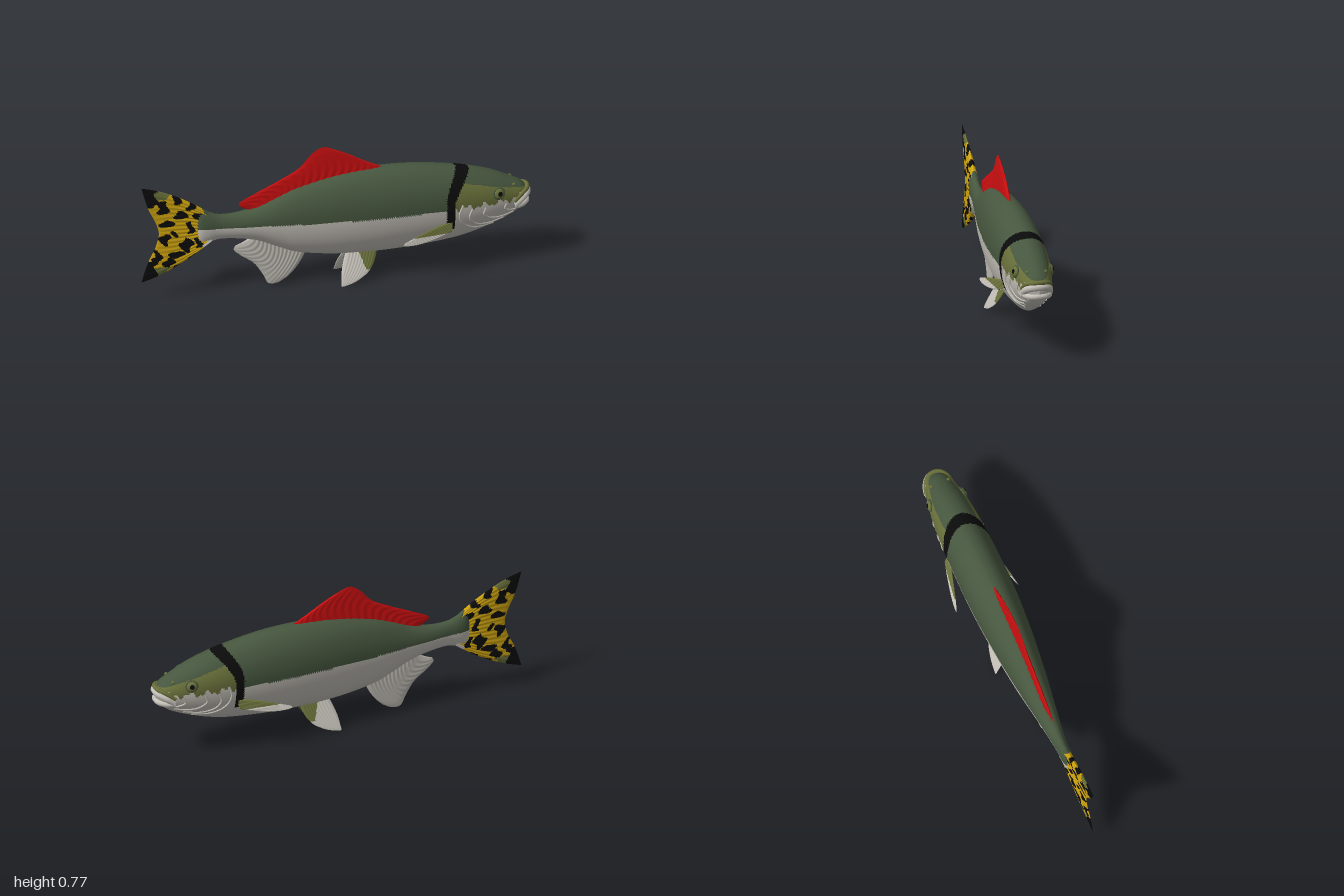
import * as THREE from 'three';

const mat = (name, color) => new THREE.MeshStandardMaterial({ name, color, side: THREE.DoubleSide });
const V = (x, y, z = 0) => new THREE.Vector3(x, y, z);
const clamp = THREE.MathUtils.clamp;

// Body stations from nose to tail: x, top, bottom, half width
const STATIONS = [
  [0.985, 0.395, 0.36, 0], [0.975, 0.42, 0.338, 0.036], [0.95, 0.447, 0.308, 0.06], [0.9, 0.475, 0.27, 0.078],
  [0.8, 0.523, 0.225, 0.099], [0.7, 0.556, 0.19, 0.111], [0.6, 0.58, 0.167, 0.117], [0.4, 0.612, 0.146, 0.122],
  [0.2, 0.62, 0.14, 0.119], [0, 0.605, 0.15, 0.106], [-0.2, 0.56, 0.185, 0.085], [-0.3, 0.52, 0.228, 0.072],
  [-0.4, 0.475, 0.276, 0.058], [-0.5, 0.451, 0.301, 0.044], [-0.6, 0.452, 0.31, 0.032], [-0.66, 0.475, 0.295, 0.03],
  [-0.7, 0.488, 0.287, 0.023], [-0.73, 0.45, 0.31, 0],
];

// Smooth interpolation of one station column at x
function station(x, col) {
  const S = STATIONS, n = S.length - 1;
  let i = 0;
  while (i < n - 1 && x < S[i + 1][0]) i++;
  const slope = (k) => {
    const a = S[Math.max(k - 1, 0)], b = S[Math.min(k + 1, n)];
    return (b[col] - a[col]) / (b[0] - a[0]);
  };
  const h = S[i + 1][0] - S[i][0], t = clamp((x - S[i][0]) / h, 0, 1), t2 = t * t, t3 = t2 * t;
  return (2 * t3 - 3 * t2 + 1) * S[i][col] + (t3 - 2 * t2 + t) * h * slope(i)
    + (3 * t2 - 2 * t3) * S[i + 1][col] + (t3 - t2) * h * slope(i + 1);
}

// Cross-section: round back, keeled belly
function section(x, a) {
  const top = station(x, 1), bot = station(x, 2), w = Math.max(0, station(x, 3));
  const mid = bot + (top - bot) * 0.58, c = Math.cos(a), s = Math.sin(a);
  const z = w * Math.sign(s) * Math.pow(Math.abs(s), c > 0 ? 1 : 1.25);
  return V(x, mid + c * (c > 0 ? top - mid : mid - bot), z);
}

// Point on the flank at a given x and height
function flank(x, y, side, lift = 0) {
  const top = station(x, 1), bot = station(x, 2), mid = bot + (top - bot) * 0.58;
  const c = clamp((y - mid) / (y > mid ? top - mid : mid - bot), -1, 1);
  const p = section(x, Math.acos(c));
  p.z = side * (p.z + lift);
  return p;
}

// Grid surface whose faces are sorted into one group per material
function grid(nu, nv, point, wrap, paint) {
  const pos = [], faces = new Map(), cols = wrap ? nv : nv + 1;
  for (let i = 0; i <= nu; i++) for (let j = 0; j < cols; j++) pos.push(point(i / nu, j / nv));
  const add = (...f) => {
    const c = V(0, 0).add(pos[f[0]]).add(pos[f[1]]).add(pos[f[2]]).divideScalar(3);
    const m = paint(c.x, c.y);
    if (!faces.has(m)) faces.set(m, []);
    faces.get(m).push(...f);
  };
  for (let i = 0; i < nu; i++) for (let j = 0; j < nv; j++) {
    const k = (j + 1) % cols, a = i * cols + j, b = i * cols + k;
    add(a, a + cols, b);
    add(b, a + cols, b + cols);
  }
  const g = new THREE.BufferGeometry().setFromPoints(pos), index = [], mats = [];
  for (const [m, list] of faces) {
    g.addGroup(index.length, list.length, mats.length);
    mats.push(m);
    for (const v of list) index.push(v);
  }
  g.setIndex(index);
  g.computeVertexNormals();
  return new THREE.Mesh(g, mats);
}

// Ribbed fin lofted through a base, a middle and an outer curve
function fin(name, [nu, nv], rows, thick, rays, paint, depth = () => 0) {
  const curves = rows.map((r) => new THREE.CatmullRomCurve3(r.map(([x, y]) => V(x, y))));
  const group = new THREE.Group();
  group.name = name;
  for (const s of [1, -1]) {
    const face = grid(nu, nv, (u, v) => {
      const [a, b, c] = curves.map((k) => k.getPoint(u));
      const p = a.multiplyScalar((1 - v) * (1 - 2 * v)).addScaledVector(b, 4 * v * (1 - v)).addScaledVector(c, v * (2 * v - 1));
      const edge = Math.sqrt(Math.max(0, 1 - (2 * u - 1) ** 8) * (1 - v ** 8));
      const rib = 1 + 0.15 * Math.cos(u * rays * Math.PI * 2);
      p.z = depth(p.x, p.y) + s * thick * (1 - 0.65 * v) * edge * rib;
      return p;
    }, false, paint);
    face.name = name + (s > 0 ? 'LeftFace' : 'RightFace');
    group.add(face);
  }
  return group;
}

// Tail blotches: x, y, radius x, radius y
const BLOTCHES = [
  [-0.89, 0.53, 0.03, 0.04], [-0.82, 0.57, 0.025, 0.03], [-0.8, 0.48, 0.035, 0.025], [-0.75, 0.52, 0.02, 0.02],
  [-0.71, 0.46, 0.035, 0.02], [-0.75, 0.4, 0.02, 0.035], [-0.87, 0.435, 0.035, 0.02], [-0.88, 0.34, 0.025, 0.035],
  [-0.77, 0.3, 0.03, 0.045], [-0.82, 0.25, 0.035, 0.02], [-0.71, 0.31, 0.02, 0.03], [-0.86, 0.21, 0.025, 0.03],
  [-0.79, 0.18, 0.035, 0.022], [-0.73, 0.23, 0.025, 0.018], [-0.83, 0.37, 0.02, 0.02], [-0.92, 0.25, 0.02, 0.04],
];

export function createModel() {
  const green = mat('darkGreen', 0x47573f), pale = mat('paleGrey', 0xc6c2ba), olive = mat('olive', 0x69703a);
  const black = mat('black', 0x0b0b0b), red = mat('red', 0xcc0f10), yellow = mat('yellow', 0xcfa40f);
  const fish = new THREE.Group();
  fish.name = 'fish';
  const add = (name, geometry, material) => {
    const m = new THREE.Mesh(geometry, material);
    m.name = name;
    fish.add(m);
    return m;
  };
  const tube = (name, pts, r, material) =>
    add(name, new THREE.TubeGeometry(new THREE.CatmullRomCurve3(pts), 32, r, 10), material);

  // Body: dark back, pale belly, black collar, olive cheeks
  const body = grid(170, 128, (u, v) => section(0.985 - 1.715 * Math.pow(u, 1.3), v * Math.PI * 2), true, (x, y) => {
    const s = clamp((y - 0.4) / 0.18, 0, 1);
    if (y > 0.265 && Math.abs(x - 0.567 - 0.09 * s * s) < 0.02 + 0.022 * s) return black;
    if (x < 0.567 + 0.09 * s * s) return y > 0.385 ? green : pale;
    if (y > 0.5 - (x - 0.7) * 0.27) return green;
    const cheek = (x > 0.93 ? 0.4 : 0.39) + 0.012 * Math.sin(x * 70) + 0.008 * Math.sin(x * 163);
    return y > cheek ? olive : pale;
  });
  body.name = 'body';
  fish.add(body);

  // Tail fin
  fish.add(fin('tailFin', [80, 56], [
    [[-0.64, 0.462], [-0.64, 0.38], [-0.64, 0.302]],
    [[-0.83, 0.588], [-0.79, 0.48], [-0.78, 0.38], [-0.79, 0.28], [-0.83, 0.175]],
    [[-1, 0.652], [-0.965, 0.53], [-0.925, 0.44], [-0.91, 0.38], [-0.925, 0.31], [-0.965, 0.22], [-1, 0.108]],
  ], 0.017, 18, (x, y) => {
    const off = Math.abs(y - 0.38), wob = 0.012 * Math.sin(y * 90 + x * 40);
    if (x > -0.675 + wob) return y > 0.385 ? green : pale;
    if (x < -0.925 + wob && off > 0.155) return black;
    if (x < -0.86 + wob && off > 0.195) return olive;
    return BLOTCHES.some(([bx, by, rx, ry]) => Math.hypot((x - bx + wob) / rx, (y - by) / ry) < 1) ? black : yellow;
  }));

  // Dorsal fin
  fish.add(fin('dorsalFin', [80, 12], [
    [[0.24, 0.6], [0.05, 0.59], [-0.12, 0.56], [-0.28, 0.5], [-0.44, 0.44]],
    [[0.235, 0.612], [0.08, 0.672], [-0.1, 0.655], [-0.29, 0.565], [-0.46, 0.464]],
    [[0.23, 0.625], [0.1, 0.69], [-0.01, 0.752], [-0.07, 0.77], [-0.12, 0.742], [-0.19, 0.665], [-0.3, 0.603], [-0.42, 0.545], [-0.5, 0.497], [-0.485, 0.475]],
  ], 0.013, 18, () => red));

  // Anal fin
  fish.add(fin('analFin', [60, 12], [
    [[-0.15, 0.2], [-0.3, 0.25], [-0.44, 0.3]],
    [[-0.19, 0.115], [-0.32, 0.14], [-0.48, 0.275]],
    [[-0.25, 0.045], [-0.3, 0.018], [-0.345, 0.02], [-0.375, 0.075], [-0.42, 0.145], [-0.49, 0.2], [-0.525, 0.24], [-0.515, 0.262]],
  ], 0.013, 14, () => pale));

  for (const side of [1, -1]) {
    const label = side > 0 ? 'left' : 'right';

    // Pelvic fin, splayed outwards
    fish.add(fin(label + 'PelvicFin', [48, 20], [
      [[0.21, 0.165], [0.13, 0.165], [0.05, 0.165]],
      [[0.185, 0.095], [0.1, 0.085], [0.022, 0.09]],
      [[0.14, 0.045], [0.09, 0.02], [0.04, 0.006], [0.01, 0.004], [0.012, 0.03]],
    ], 0.009, 10, (x, y) => (x > 0.115 + (0.15 - y) * 0.35 && y > 0.07 ? olive : pale),
    (x, y) => side * (0.024 + (0.14 - y) * 0.48)));

    // Pectoral fin, swept back
    fish.add(fin(label + 'PectoralFin', [40, 24], [
      [[0.575, 0.315], [0.575, 0.29], [0.57, 0.265]],
      [[0.45, 0.292], [0.45, 0.267], [0.45, 0.24]],
      [[0.345, 0.263], [0.315, 0.255], [0.31, 0.248], [0.32, 0.242], [0.35, 0.238]],
    ], 0.008, 8, (x, y) => (x > 0.37 && y > 0.262 + (0.57 - x) * 0.04 ? olive : pale),
    (x, y) => side * (0.108 + (0.565 - x) * 0.2 + (0.285 - y) * 0.35)));

    // Eye: dark rim, olive ball, black pupil
    const eye = new THREE.Group();
    eye.name = label + 'Eye';
    const parts = [
      ['eyeRim', new THREE.TorusGeometry(0.029, 0.004, 8, 36), green, 0],
      ['eyeball', new THREE.SphereGeometry(0.028, 28, 18).scale(1, 1, 0.5), olive, 0],
      ['pupil', new THREE.SphereGeometry(0.013, 20, 12).scale(1, 1, 0.4), black, 0.011],
    ];
    for (const [name, geometry, material, z] of parts) {
      const m = new THREE.Mesh(geometry, material);
      m.name = name;
      m.position.z = z;
      eye.add(m);
    }
    eye.position.copy(flank(0.82, 0.437, side, 0.001));
    eye.rotation.set(-side * 0.2, side > 0 ? 0.25 : Math.PI - 0.25, 0);
    fish.add(eye);

    // Nostril
    add(label + 'Nostril', new THREE.SphereGeometry(0.009, 14, 10), olive).position.copy(flank(0.905, 0.455, side));

    // Gill cover and cheek folds
    const folds = [
      [[0.63, 0.41], [0.612, 0.35], [0.635, 0.29], [0.7, 0.25], [0.8, 0.245]],
      [[0.68, 0.38], [0.665, 0.33], [0.69, 0.285], [0.76, 0.262], [0.85, 0.275]],
      [[0.75, 0.375], [0.74, 0.335], [0.78, 0.3], [0.84, 0.293], [0.9, 0.305]],
      [[0.86, 0.375], [0.85, 0.345], [0.88, 0.325], [0.93, 0.325]],
    ];
    folds.forEach((f, i) => tube(`${label}GillFold${i + 1}`, f.map(([x, y]) => flank(x, y, side, -0.001)), 0.006, pale));
  }

  // Mouth: mirrored lip arcs
  const lip = (name, half, r, material) => {
    const other = half.slice(0, -1).reverse().map(([x, y, z]) => [x, y, -z]);
    tube(name, [...half, ...other].map((p) => V(...p)), r, material);
  };
  lip('upperLipRim', [[0.9, 0.37, 0.073], [0.945, 0.405, 0.058], [0.975, 0.417, 0.03], [0.982, 0.42, 0]], 0.012, olive);
  lip('upperLip', [[0.905, 0.35, 0.066], [0.945, 0.378, 0.056], [0.974, 0.394, 0.03], [0.981, 0.397, 0]], 0.019, pale);
  lip('lowerLip', [[0.9, 0.34, 0.066], [0.94, 0.341, 0.054], [0.97, 0.345, 0.03], [0.977, 0.346, 0]], 0.016, pale);
  return fish;
}
